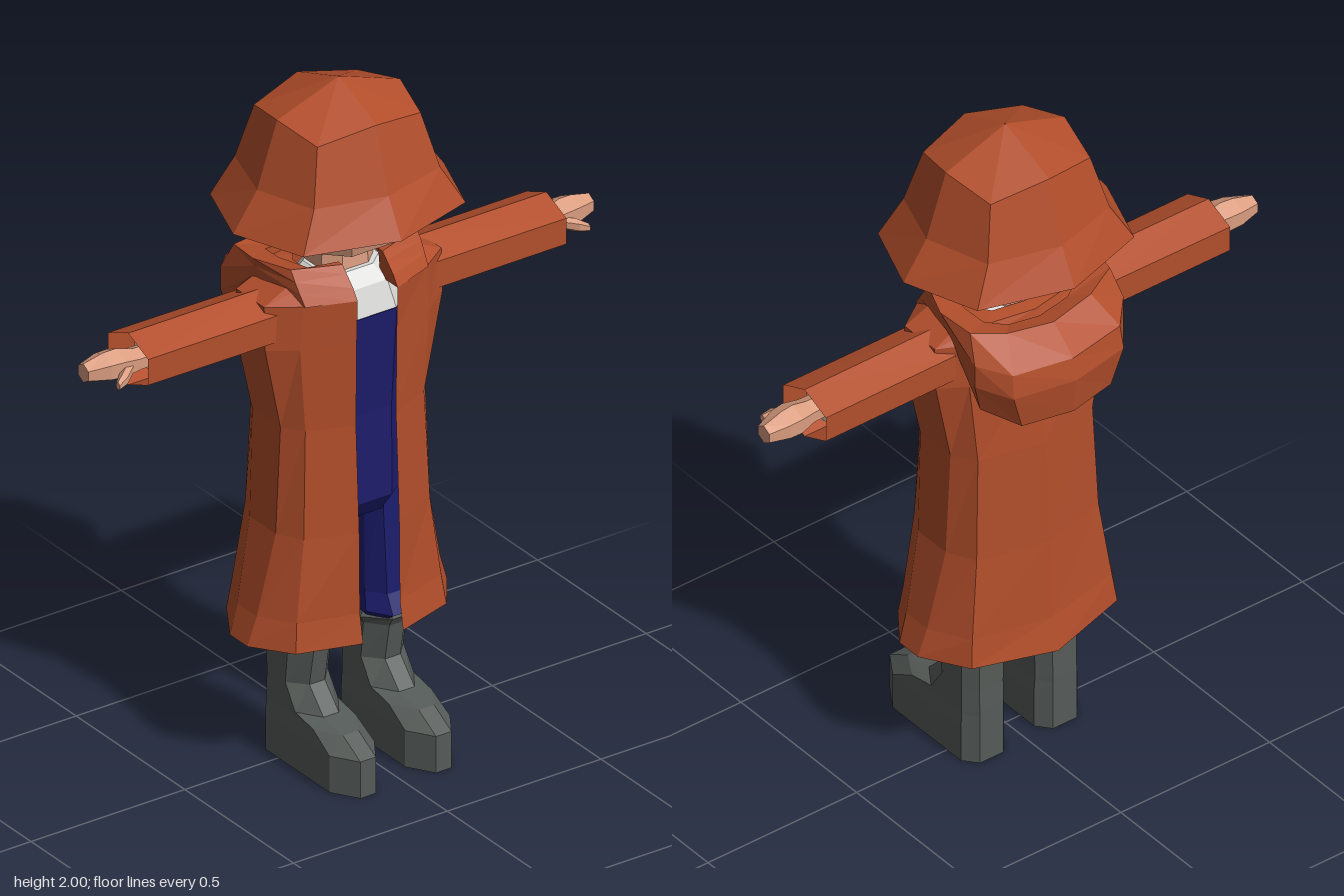
import * as THREE from 'three';

// Skin a list of equal-length rings; caps fan to the ring centre, faces are turned outwards.
function loft(rows, { closed = true, caps = true } = {}) {
  const n = rows[0].length, tris = [];
  const span = closed ? n : n - 1;
  for (let i = 0; i < rows.length - 1; i++) {
    for (let j = 0; j < span; j++) {
      const k = (j + 1) % n;
      const a = rows[i][j], b = rows[i][k], c = rows[i + 1][k], d = rows[i + 1][j];
      tris.push([a, b, c], [a, c, d]);
    }
  }
  const mean = (pts) => [0, 1, 2].map((i) => pts.reduce((s, p) => s + p[i], 0) / pts.length);
  const cap = (ring, flip) => {
    const m = mean(ring);
    ring.forEach((p, j) => {
      const q = ring[(j + 1) % n];
      tris.push(flip ? [m, q, p] : [m, p, q]);
    });
  };
  if (caps) {
    cap(rows[0], true);
    cap(rows[rows.length - 1], false);
  }
  const centre = new THREE.Vector3(...mean(rows.flat()));
  let volume = 0;
  for (const t of tris) {
    const [a, b, c] = t.map((p) => new THREE.Vector3(...p).sub(centre));
    volume += a.dot(b.cross(c));
  }
  if (volume < 0) tris.forEach((t) => t.reverse());
  const geo = new THREE.BufferGeometry();
  geo.setAttribute('position', new THREE.Float32BufferAttribute(tris.flat(2), 3));
  geo.computeVertexNormals();
  return geo;
}

// Complete a half ring (x >= 0) with its mirror image; points on the axis are not doubled.
const mirrorRow = (half) => [
  ...half,
  ...half.slice().reverse().filter((p) => p[0] > 0).map(([x, y, z]) => [-x, y, z]),
];

// Eight-sided horizontal ring with flat front and back.
const octagon = (y, w, zf, zb, cx = 0) => {
  const d = (zf - zb) * 0.25;
  return [[w * 0.5, zf], [w, zf - d], [w, zb + d], [w * 0.5, zb],
    [-w * 0.5, zb], [-w, zb + d], [-w, zf - d], [-w * 0.5, zf]].map(([x, z]) => [cx + x, y, z]);
};

// Six-sided ring across the arm, with a ridge on top.
const hexagon = (x, y, ry, rz, z = 0) =>
  [[1, 0], [0.5, 1], [-0.5, 1], [-1, 0], [-0.5, -1], [0.5, -1]]
    .map(([a, b]) => [x, y + a * ry, z + b * rz]);

export function createModel() {
  const group = new THREE.Group();
  const mat = (name, color, side = THREE.FrontSide) => {
    const m = new THREE.MeshStandardMaterial({ color, flatShading: true, side });
    m.name = name;
    return m;
  };
  const coatMat = mat('rust cloth', 0xb24e2b, THREE.DoubleSide);
  const skin = mat('skin', 0xdb9d80);
  const navy = mat('navy cloth', 0x1c1c6c);
  const white = mat('pale shirt', 0xdcdcda);
  const rubber = mat('grey rubber', 0x565c59);
  const add = (name, geo, material) => {
    const mesh = new THREE.Mesh(geo, material);
    mesh.name = name;
    group.add(mesh);
  };

  // Hat: open eight-sided bell rising to a tiny ring at the peak
  const hatRing = (y, x, xd, zf, zb, zd, yd = y) => mirrorRow(
    [[0, y, zf], [xd, yd, zf * zd], [x, y, 0], [xd, yd, zb * zd], [0, y, zb]]);
  add('hat', loft([
    hatRing(1.63, 0.343, 0.264, 0.29, -0.3, 0.73),
    hatRing(1.74, 0.265, 0.205, 0.23, -0.245, 0.77),
    hatRing(1.93, 0.2, 0.168, 0.175, -0.19, 0.8, 1.9),
    hatRing(2, 0.002, 0.0015, 0.002, -0.002, 0.75),
  ], { caps: false }), coatMat);

  // Head and neck
  add('head', loft([
    octagon(1.537, 0.1, 0.13, -0.11),
    octagon(1.56, 0.168, 0.18, -0.16),
    octagon(1.63, 0.194, 0.2, -0.195),
    octagon(1.75, 0.185, 0.18, -0.18),
    octagon(1.87, 0.13, 0.12, -0.13),
  ]), skin);
  add('neck', loft([octagon(1.42, 0.088, 0.08, -0.08), octagon(1.57, 0.075, 0.07, -0.07)]), skin);

  // Shirt and overalls under the coat
  add('shirt', loft([
    octagon(1.34, 0.17, 0.145, -0.11),
    octagon(1.42, 0.14, 0.125, -0.09),
    octagon(1.46, 0.095, 0.09, -0.07),
  ]), white);
  add('overalls', loft([
    octagon(0.71, 0.15, 0.09, -0.09),
    octagon(0.77, 0.165, 0.13, -0.12),
    octagon(1.04, 0.16, 0.13, -0.12),
    octagon(1.34, 0.17, 0.148, -0.11),
  ]), navy);

  // Long coat, open down the front:
  // y, front z, corner x, corner z front/back, side x, side half depth, back z
  const coatRows = [
    [0.395, 0.205, 0.245, 0.15, -0.17, 0.325, 0.04, -0.23],
    [0.48, 0.19, 0.235, 0.14, -0.16, 0.298, 0.045, -0.208],
    [0.72, 0.187, 0.205, 0.13, -0.14, 0.247, 0.06, -0.19],
    [1.04, 0.172, 0.193, 0.12, -0.13, 0.235, 0.065, -0.175],
    [1.29, 0.175, 0.21, 0.12, -0.115, 0.288, 0.07, -0.15],
    [1.42, 0.18, 0.2, 0.125, -0.11, 0.288, 0.065, -0.14],
    [1.46, 0.125, 0.16, 0.09, -0.1, 0.2, 0.06, -0.13],
    [1.465, 0.1, 0.1, 0.07, -0.07, 0.12, 0.04, -0.09],
  ].map(([y, zf, xc, zcf, zcb, xs, zs, zb], i) => mirrorRow([
    [0.065, y, zf], [xc, y, zcf], [xs, y, zs], [xs, y, -zs], [xc, y, zcb],
    [0, y - (i ? 0 : 0.017), zb],
  ]));
  add('coat', loft(coatRows, { closed: false, caps: false }), coatMat);

  // Hood lying folded around the neck:
  // inner top, outer top, upper bulge, lower bulge, outer bottom, inner bottom
  const hoodHalf = [
    [[0.065, 1.5, 0.09], [0.065, 1.5, 0.11], [0.065, 1.48, 0.13], [0.065, 1.45, 0.16], [0.065, 1.42, 0.18], [0.065, 1.42, 0.1]],
    [[0.15, 1.5, 0.07], [0.205, 1.51, 0.07], [0.205, 1.48, 0.09], [0.203, 1.45, 0.11], [0.2, 1.42, 0.13], [0.15, 1.43, 0.07]],
    [[0.17, 1.49, -0.04], [0.25, 1.51, -0.04], [0.24, 1.48, -0.05], [0.235, 1.45, -0.05], [0.22, 1.42, -0.05], [0.17, 1.42, -0.04]],
    [[0.16, 1.48, -0.11], [0.235, 1.5, -0.15], [0.25, 1.42, -0.19], [0.25, 1.35, -0.19], [0.225, 1.26, -0.18], [0.16, 1.27, -0.11]],
    [[0.1, 1.46, -0.14], [0.14, 1.48, -0.19], [0.18, 1.4, -0.265], [0.185, 1.33, -0.275], [0.15, 1.22, -0.265], [0.1, 1.24, -0.13]],
    [[0, 1.45, -0.15], [0, 1.465, -0.21], [0, 1.395, -0.295], [0, 1.33, -0.31], [0, 1.22, -0.297], [0, 1.23, -0.14]],
  ];
  const mirrored = hoodHalf.slice(0, -1).reverse().map((r) => r.map(([x, y, z]) => [-x, y, z]));
  add('hood', loft([...hoodHalf, ...mirrored]), coatMat);

  for (const [side, s] of [['left', 1], ['right', -1]]) {
    const flip = (rows) => rows.map((r) => r.map(([x, y, z]) => [s * x, y, z]));

    // Arm: hollow sleeve, recessed shirt cuff, hand and thumb
    add(side + 'Sleeve', loft(flip([
      hexagon(0.24, 1.355, 0.08, 0.09, -0.005),
      hexagon(0.68, 1.356, 0.078, 0.092, -0.006),
    ]), { caps: false }), coatMat);
    add(side + 'Cuff', loft(flip([
      hexagon(0.4, 1.355, 0.06, 0.072), hexagon(0.61, 1.355, 0.062, 0.075),
    ])), white);
    add(side + 'Hand', loft(flip([
      hexagon(0.59, 1.355, 0.03, 0.034),
      hexagon(0.67, 1.355, 0.032, 0.036),
      hexagon(0.72, 1.357, 0.044, 0.045, -0.005),
      hexagon(0.76, 1.357, 0.042, 0.042, -0.008),
      hexagon(0.822, 1.355, 0.028, 0.024, -0.012),
    ])), skin);
    add(side + 'Thumb', loft(flip([
      hexagon(0.695, 1.35, 0.018, 0.02, 0.02),
      hexagon(0.735, 1.342, 0.02, 0.018, 0.052),
      hexagon(0.765, 1.333, 0.012, 0.009, 0.068),
    ])), skin);

    // Trouser leg, spreading where it is tucked into the boot
    add(side + 'TrouserLeg', loft([
      octagon(0.38, 0.075, 0.105, -0.105, s * 0.125),
      octagon(0.397, 0.085, 0.13, -0.13, s * 0.128),
      octagon(0.45, 0.075, 0.1, -0.1, s * 0.125),
      octagon(0.78, 0.06, 0.085, -0.095, s * 0.112),
    ]), navy);

    // Boot: sole, toe, instep, shaft and flared rim (y, half width, front z, back z)
    add(side + 'Boot', loft([
      [0, 0.073, 0.31, -0.1], [0.11, 0.073, 0.31, -0.1], [0.155, 0.07, 0.23, -0.1],
      [0.17, 0.07, 0.14, -0.1], [0.24, 0.069, 0.075, -0.098], [0.35, 0.071, 0.095, -0.1],
      [0.375, 0.086, 0.11, -0.112], [0.387, 0.08, 0.105, -0.105],
    ].map(([y, w, zf, zb]) => {
      const d = Math.min(0.075, (zf - zb) * 0.28);
      return [[0.025, zf], [w, zf - d], [w, zb + 0.04], [0.04, zb],
        [-0.04, zb], [-w, zb + 0.04], [-w, zf - d], [-0.025, zf]]
        .map(([x, z]) => [s * 0.123 + x, y, z]);
    })), rubber);
  }
  return group;
}
